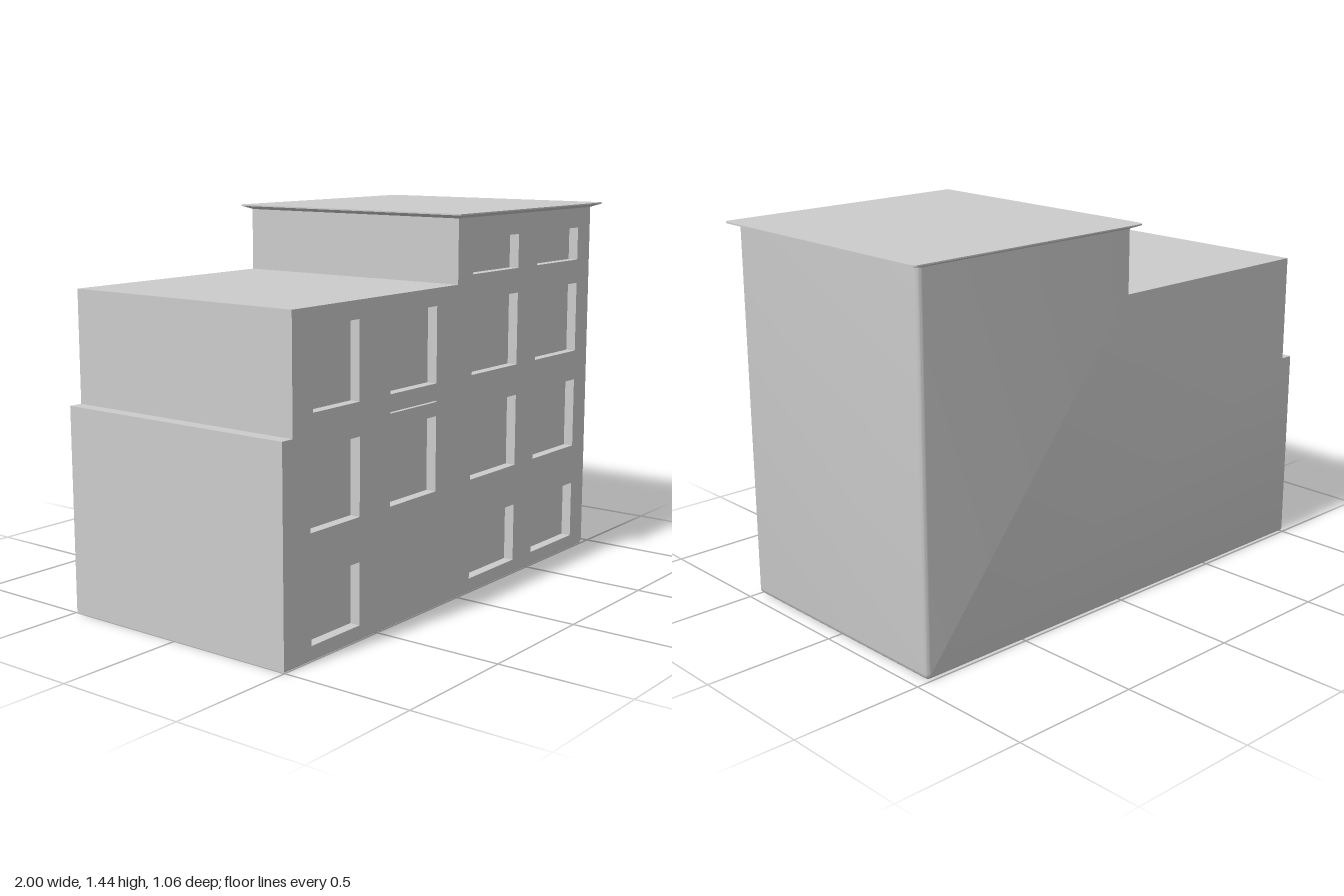
import * as THREE from 'three';
import { toCreasedNormals } from 'three/addons/utils/BufferGeometryUtils.js';

const FRONT = 0.497, BACK = -0.495, DEPTH = 0.04;
const material = new THREE.MeshStandardMaterial({ color: 0xcccccc });

function addMesh(parent, name, geometry) {
  const mesh = new THREE.Mesh(geometry, material);
  mesh.name = name;
  parent.add(mesh);
  return mesh;
}

// Skin between counter-clockwise 2D sections stacked along +z, with optional end caps.
function loft(sections, capStart, capEnd) {
  const pos = [];
  const put = (s, i) => pos.push(s.pts[i].x, s.pts[i].y, s.z);
  const n = sections[0].pts.length;
  for (let k = 0; k < sections.length - 1; k++) {
    const a = sections[k], b = sections[k + 1];
    for (let i = 0; i < n; i++) {
      const j = (i + 1) % n;
      put(a, i); put(a, j); put(b, j);
      put(a, i); put(b, j); put(b, i);
    }
  }
  const cap = (s, flip) => {
    for (const [a, b, c] of THREE.ShapeUtils.triangulateShape(s.pts, [])) {
      put(s, a); put(s, flip ? c : b); put(s, flip ? b : c);
    }
  };
  if (capStart) cap(sections[0], true);
  if (capEnd) cap(sections[sections.length - 1], false);
  const geometry = new THREE.BufferGeometry();
  geometry.setAttribute('position', new THREE.Float32BufferAttribute(pos, 3));
  return toCreasedNormals(geometry, 0.6);
}

// Points of a quarter-circle corner.
function corner(cx, cy, r, start, steps = 6) {
  return Array.from({ length: steps + 1 }, (_, i) => {
    const t = start + (i / steps) * Math.PI / 2;
    return new THREE.Vector2(cx + r * Math.cos(t), cy + r * Math.sin(t));
  });
}

// Stepped building outline; only the ground edge and the left wall are inset.
function outline(inset) {
  const v = (x, y) => new THREE.Vector2(x, y);
  return [
    v(-1, inset),
    ...corner(0.933, 0.022, 0.022 - inset, -Math.PI / 2),
    v(0.955 - inset, 1.428), v(-0.013, 1.428),
    v(-0.013, 1.185), v(-0.948, 1.185),
    v(-0.948, 0.77), v(-1, 0.77),
  ];
}

// Rounded sections along one end of the body.
function roundedEnd(z, r, dir) {
  return Array.from({ length: 6 }, (_, i) => {
    const t = (i / 5) * Math.PI / 2;
    return { pts: outline(r * (1 - Math.sin(t))), z: z + dir * r * (1 - Math.cos(t)) };
  });
}

// Roof plan, drawn with y pointing to the back.
function roofPlan(x0, x1, half, r) {
  return [
    new THREE.Vector2(x0, -half),
    ...corner(x1 - r, -half + r, r, -Math.PI / 2),
    ...corner(x1 - r, half - r, r, 0),
    ...corner(x0 + r, half - r, r, Math.PI / 2),
  ];
}

export function createModel() {
  const building = new THREE.Group();
  building.name = 'building';

  // Walls, terraces and underside
  const frontInset = 0.005;
  addMesh(building, 'walls', loft([
    ...roundedEnd(BACK, 0.018, 1),
    ...roundedEnd(FRONT, frontInset, -1).reverse(),
  ], true, false));

  // Window openings: x range, then y ranges
  const rows = { attic: [1.215, 1.345], upper: [0.84, 1.12], middle: [0.44, 0.72], ground: [0.053, 0.28] };
  const columns = [
    [-0.845, -0.598, ['upper']],
    [-0.86, -0.597, ['middle', 'ground']],
    [-0.423, -0.145, ['upper', 'middle']],
    [0.085, 0.4, ['attic', 'upper', 'middle', 'ground']],
    [0.538, 0.855, ['attic', 'upper', 'middle', 'ground']],
  ];
  const openings = columns.flatMap(([x0, x1, names]) =>
    names.map((name) => ({ name: 'window', x0, x1, y0: rows[name][0], y1: rows[name][1] })));
  openings.push({ name: 'facadeSlot', x0: -0.423, x1: -0.145, y0: 0.772, y1: 0.777 });

  // Facade with the openings cut out
  const facade = new THREE.Shape(outline(frontInset));
  for (const { x0, x1, y0, y1 } of openings) {
    facade.holes.push(new THREE.Path([[x0, y0], [x0, y1], [x1, y1], [x1, y0]]
      .map(([x, y]) => new THREE.Vector2(x, y))));
  }
  addMesh(building, 'facade', new THREE.ShapeGeometry(facade)).position.z = FRONT;

  // Recesses: reveals facing inwards and a back pane
  for (const { name, x0, x1, y0, y1 } of openings) {
    const pts = [[x0, y0], [x0, y1], [x1, y1], [x1, y0]].map(([x, y]) => new THREE.Vector2(x, y));
    const recess = new THREE.Group();
    recess.name = name;
    addMesh(recess, 'reveal', loft([{ pts, z: FRONT - DEPTH }, { pts, z: FRONT }], false, false));
    addMesh(recess, 'pane', new THREE.PlaneGeometry(x1 - x0, y1 - y0))
      .position.set((x0 + x1) / 2, (y0 + y1) / 2, FRONT - DEPTH);
    building.add(recess);
  }

  // Thin flared roof slab
  const roof = loft([
    { pts: roofPlan(-0.015, 0.957, 0.498, 0.012), z: 1.424 },
    { pts: roofPlan(-0.05, 1, 0.532, 0.022), z: 1.437 },
    { pts: roofPlan(-0.05, 1, 0.532, 0.022), z: 1.442 },
  ], true, true);
  addMesh(building, 'roof', roof.rotateX(-Math.PI / 2));

  return building;
}
